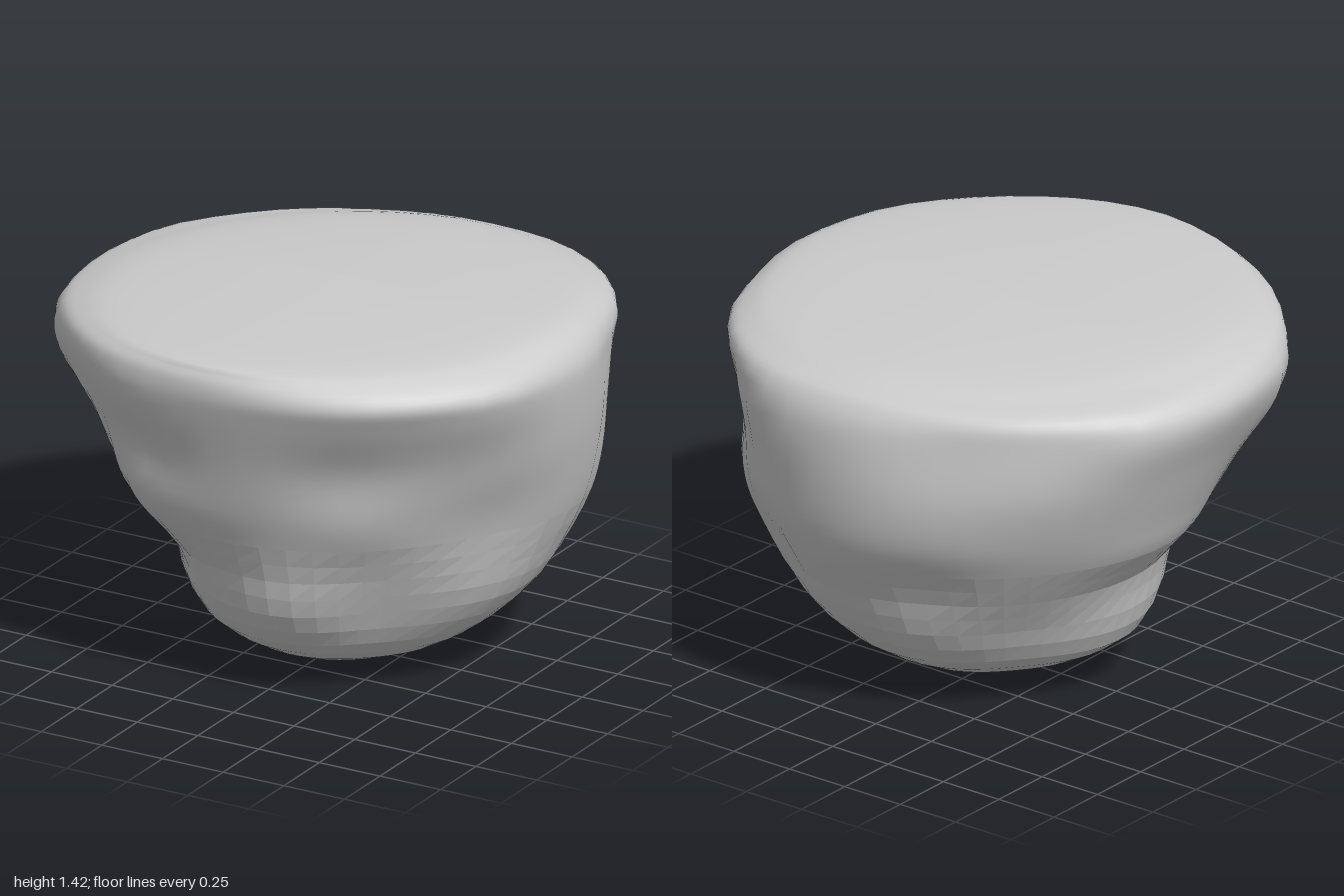
import * as THREE from 'three';

const SEGMENTS = 48;

// Height, then radii in eight directions: +x, +x+z, +z, -x+z, -x, -x-z, -z, +x-z
const rings = [
  [0, 0, 0, 0, 0, 0, 0, 0, 0],
  [0.025, 0.21, 0.2, 0.2, 0.19, 0.17, 0.17, 0.2, 0.22],
  [0.09, 0.41, 0.37, 0.37, 0.35, 0.34, 0.33, 0.39, 0.4],
  [0.2, 0.58, 0.5, 0.53, 0.5, 0.51, 0.48, 0.58, 0.6],
  [0.35, 0.72, 0.58, 0.63, 0.57, 0.58, 0.57, 0.71, 0.75],
  [0.5, 0.8, 0.65, 0.67, 0.6, 0.62, 0.67, 0.79, 0.85],
  [0.65, 0.87, 0.72, 0.74, 0.69, 0.75, 0.77, 0.88, 0.92],
  [0.8, 0.92, 0.78, 0.81, 0.79, 0.82, 0.85, 0.94, 0.95],
  [1.0, 0.97, 0.86, 0.88, 0.89, 0.91, 0.92, 0.965, 0.96],
  [1.2, 1.0, 0.97, 0.945, 0.98, 1.0, 0.93, 0.955, 0.99],
  [1.3, 0.99, 1.01, 0.965, 0.99, 0.97, 0.91, 0.91, 0.99],
  [1.37, 0.93, 0.94, 0.945, 0.94, 0.86, 0.8, 0.83, 0.92],
  [1.405, 0.8, 0.81, 0.87, 0.81, 0.7, 0.66, 0.7, 0.79],
  [1.42, 0.4, 0.4, 0.43, 0.4, 0.35, 0.34, 0.35, 0.4],
  [1.42, 0, 0, 0, 0, 0, 0, 0, 0],
];

// Local hollows (positive depth) and swellings (negative): x, y, z, size, depth
const hollows = [
  // front ledges
  [-0.34, 0.72, 0.68, 0.26, -0.085],
  [-0.35, 1.14, 0.86, 0.16, -0.02],
  [-0.36, 0.97, 0.84, 0.14, 0.04],
  [0.42, 0.95, 0.76, 0.16, 0.02],
  [0.44, 0.74, 0.62, 0.18, -0.025],
  [0.18, 0.4, 0.6, 0.2, -0.025],
  // +x flank
  [0.82, 0.68, 0.24, 0.22, 0.045],
  [0.74, 1.05, -0.56, 0.18, 0.045],
  [0.5, 0.58, -0.74, 0.18, 0.045],
  // back and -x flank
  [-0.2, 0.58, -0.75, 0.18, 0.03],
  [-0.85, 1.1, 0.42, 0.18, -0.04],
  // uneven rim outline
  [0.94, 1.24, 0.45, 0.2, -0.025],
  [0.93, 1.24, -0.3, 0.17, 0.025],
  [0.4, 1.15, -0.9, 0.2, -0.025],
  [-0.38, 1.15, -0.86, 0.24, 0.025],
  [-0.92, 1.2, -0.36, 0.17, -0.025],
];

function cubic(p0, p1, p2, p3, t) {
  return p1 + 0.5 * t * (p2 - p0 + t * (2 * p0 - 5 * p1 + 4 * p2 - p3 + t * (3 * (p1 - p2) + p3 - p0)));
}

// Smooth value of one column of the ring table at a fractional row
function columnAt(row, column) {
  const i = Math.min(Math.floor(row), rings.length - 2);
  const at = (k) => rings[THREE.MathUtils.clamp(k, 0, rings.length - 1)][column];
  return cubic(at(i - 1), at(i), at(i + 1), at(i + 2), row - i);
}

function surfacePoint(row, turn) {
  const k = Math.floor(turn * 8);
  const r = (j) => columnAt(row, 1 + ((j + 8) % 8));
  const radius = Math.max(0, cubic(r(k - 1), r(k), r(k + 1), r(k + 2), turn * 8 - k));
  const angle = turn * Math.PI * 2;
  const p = new THREE.Vector3(Math.cos(angle) * radius, columnAt(row, 0), Math.sin(angle) * radius);
  let push = 0;
  for (const [x, y, z, size, depth] of hollows) {
    const d2 = (p.x - x) ** 2 + (p.y - y) ** 2 + (p.z - z) ** 2;
    push += depth * Math.exp(-d2 / (size * size));
  }
  p.x -= Math.cos(angle) * push;
  p.z -= Math.sin(angle) * push;
  // Top face tips slightly down to the back and to -x
  const tip = THREE.MathUtils.smoothstep(p.y, 1.3, 1.4);
  p.y -= tip * (0.04 * Math.max(0, -p.z) + 0.03 * Math.max(0, -p.x));
  p.y = Math.max(0, p.y);
  return p;
}

// Skin between two rows of the table
function skin(from, to, steps) {
  const positions = [];
  const index = [];
  for (let i = 0; i <= steps; i++) {
    for (let j = 0; j < SEGMENTS; j++) {
      positions.push(...surfacePoint(from + ((to - from) * i) / steps, j / SEGMENTS));
    }
  }
  const last = rings.length - 1;
  for (let i = 0; i < steps; i++) {
    for (let j = 0; j < SEGMENTS; j++) {
      const a = i * SEGMENTS + j;
      const b = i * SEGMENTS + ((j + 1) % SEGMENTS);
      const c = a + SEGMENTS;
      const d = b + SEGMENTS;
      if (!(from === 0 && i === 0)) index.push(a, c, b);
      if (!(to === last && i === steps - 1)) index.push(b, c, d);
    }
  }
  const geometry = new THREE.BufferGeometry();
  geometry.setAttribute('position', new THREE.Float32BufferAttribute(positions, 3));
  geometry.setIndex(index);
  geometry.computeVertexNormals();
  return geometry;
}

export function createModel() {
  const group = new THREE.Group();
  group.name = 'boulder';

  // Faceted, rounded underside
  const underside = new THREE.Mesh(
    skin(0, 6, 12),
    new THREE.MeshStandardMaterial({ color: 0xcccccc, flatShading: true })
  );
  underside.name = 'underside';

  // Smooth upper flanks, rolled rim and flat top
  const top = new THREE.Mesh(
    skin(6, rings.length - 1, 40),
    new THREE.MeshStandardMaterial({ color: 0xcccccc })
  );
  top.name = 'top';

  group.add(underside, top);
  return group;
}
